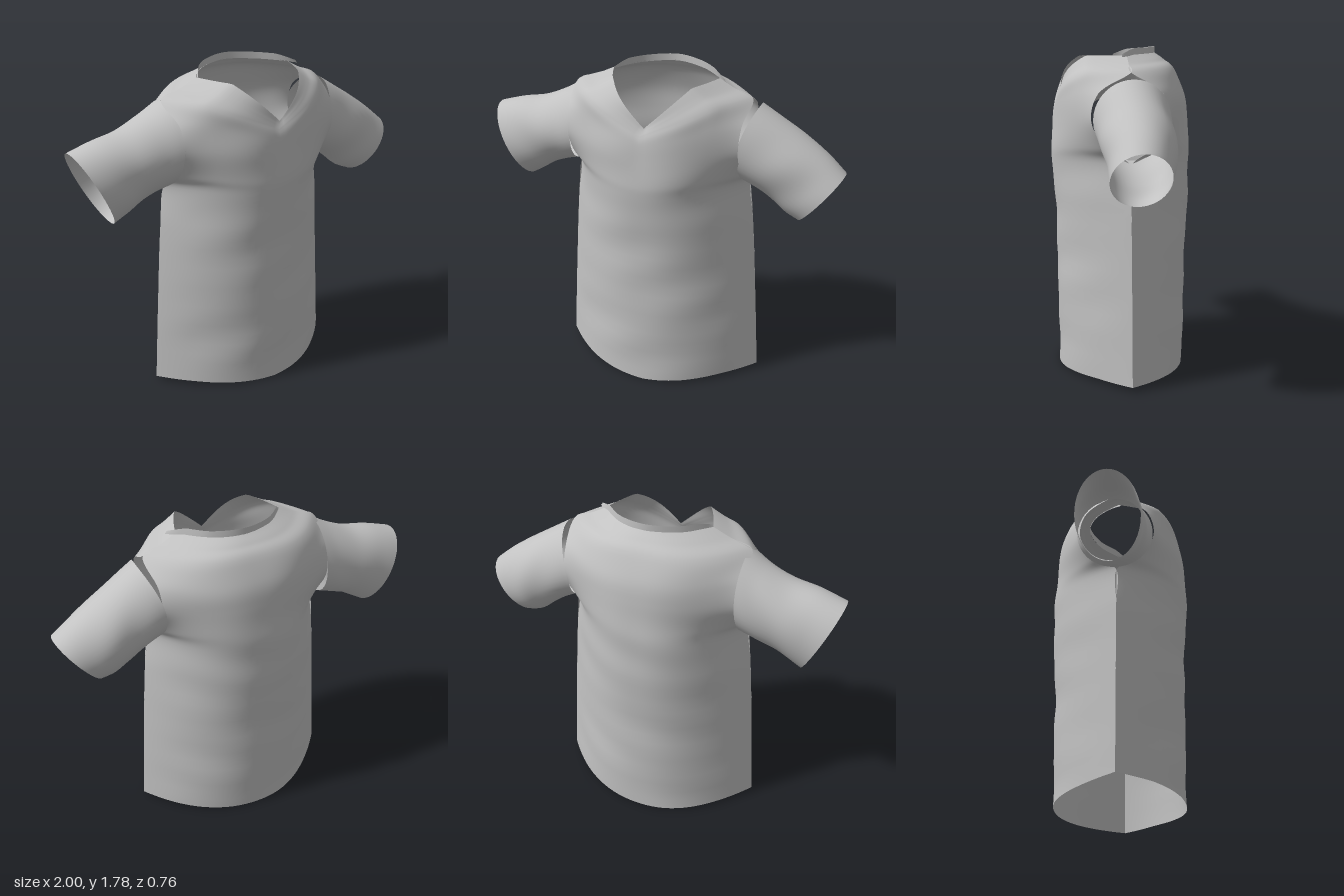
import * as THREE from 'three';

const V = (x, y, z) => new THREE.Vector3(x, y, z);
const cloth = new THREE.MeshStandardMaterial({ color: 0xc2c2c2, side: THREE.DoubleSide });
cloth.name = 'grey cloth';

// Smooth sheet from a rule: point(s, t) with s across and t along, both 0..1
function sheet(name, cols, rows, point, closed = false) {
  const pos = [], index = [], w = closed ? cols : cols + 1;
  for (let j = 0; j <= rows; j++) {
    for (let i = 0; i < w; i++) pos.push(...point(i / cols, j / rows).toArray());
  }
  for (let j = 0; j < rows; j++) {
    for (let i = 0; i < cols; i++) {
      const a = j * w + i, b = j * w + (i + 1) % w;
      index.push(a, b, b + w, a, b + w, a + w);
    }
  }
  const g = new THREE.BufferGeometry();
  g.setAttribute('position', new THREE.Float32BufferAttribute(pos, 3));
  g.setIndex(index);
  g.computeVertexNormals();
  const mesh = new THREE.Mesh(g, cloth);
  mesh.name = name;
  return mesh;
}

// Soft cloth wrinkles
const wrinkle = (x, y, k) =>
  0.004 * Math.sin(9 * y + 5 * x * x + k) * Math.cos(4 * x + 2 * y + k) +
  0.004 * Math.sin(21 * y - 7 * x + 2 * k) * Math.sin(3 * x + 5 * y + k);

// Side seam, then armhole, then shoulder seam up to the neck: x, y, |z|
const edge = [
  [0.585, 0.025, 0], [0.555, 0.5, 0], [0.522, 0.95, 0], [0.495, 1.18, 0.005],
  [0.48, 1.26, 0.12], [0.475, 1.4, 0.2], [0.48, 1.54, 0.165],
  [0.49, 1.645, 0], [0.38, 1.685, 0], [0.28, 1.73, 0],
];
// Centre line of each panel: y, |z|, fullness of the row
const frontLine = [
  [0, 0.343, 2.2], [0.5, 0.353, 2.2], [0.95, 0.363, 2.3], [1.15, 0.375, 2.45],
  [1.23, 0.38, 2.6], [1.33, 0.38, 2.7], [1.43, 0.365, 2.8],
  [1.49, 0.348, 3], [1.51, 0.338, 3], [1.53, 0.33, 2.9],
];
const backLine = [
  [0, 0.35, 2.2], [0.5, 0.36, 2.2], [0.95, 0.375, 2.3], [1.17, 0.378, 2.45],
  [1.28, 0.373, 2.6], [1.42, 0.362, 2.7], [1.54, 0.345, 2.8],
  [1.65, 0.295, 2.8], [1.71, 0.235, 2.5], [1.745, 0.19, 2.1],
];

const curve = (list) => new THREE.CatmullRomCurve3(list.map((p) => V(...p)));

function panel(name, line, side) {
  const e = curve(edge), c = curve(line);
  return sheet(name, 48, 72, (s, t) => {
    const E = e.getPoint(t), C = c.getPoint(t);
    const u = side * Math.sin((s - 0.5) * Math.PI), a = Math.abs(u);
    // The front dips in a V, the back in a soft curve
    const dip = side > 0 ? Math.max(0, 1 - a / 0.72) : 1 - a * a;
    const full = 1 - a ** C.z;
    // The neck hangs a little to the left
    const x = E.x * u + 0.015 * (1 + u) * Math.max(0, (t - 0.8) / 0.2);
    const y = E.y + (C.x - E.y) * dip;
    const z = E.z * a ** 4 + C.y * full + wrinkle(x, y, side) * Math.min(1, full * 2);
    return V(x, y, side * z);
  });
}

// Sleeve through oval rings: top x, top y, bottom x, bottom y, centre z, half depth
// hollow curves the seam in towards the body
function sleeve(name, side, hollow, rings) {
  const top = curve(rings.map((r) => [r[0], r[1], r[4]]));
  const low = curve(rings.map((r) => [r[2], r[3], r[5]]));
  return sheet(name, 40, 24, (s, t) => {
    const A = top.getPoint(t), B = low.getPoint(t);
    const ang = s * Math.PI * 2 * side;
    const k = (1 + Math.cos(ang)) / 2;
    const fold = 1 + 0.025 * Math.sin(3 * ang + 9 * t) * Math.sin(Math.PI * t);
    const seam = hollow * Math.sin(ang) ** 2 * (1 - t) ** 3;
    return V(side * (B.x + (A.x - B.x) * k - seam), B.y + (A.y - B.y) * k,
      A.z + B.z * Math.sin(ang) * fold);
  }, true);
}

export function createModel() {
  const shirt = new THREE.Group();
  shirt.name = 'shirt';
  shirt.add(panel('frontPanel', frontLine, 1), panel('backPanel', backLine, -1));

  shirt.add(sleeve('rightSleeve', -1, 0.012, [
    [0.475, 1.635, 0.492, 1.19, -0.01, 0.205],
    [0.58, 1.575, 0.57, 1.165, -0.02, 0.188],
    [0.71, 1.52, 0.66, 1.13, -0.02, 0.178],
    [0.86, 1.49, 0.73, 1.085, -0.02, 0.172],
    [1.0, 1.45, 0.805, 1.04, -0.025, 0.165],
  ]));
  shirt.add(sleeve('leftSleeve', 1, 0.04, [
    [0.535, 1.612, 0.47, 1.2, -0.01, 0.2],
    [0.66, 1.535, 0.56, 1.15, -0.015, 0.187],
    [0.78, 1.46, 0.635, 1.095, -0.02, 0.18],
    [0.9, 1.375, 0.7, 1.04, -0.015, 0.165],
    [1.0, 1.29, 0.77, 1.01, 0, 0.15],
  ]));

  // Narrow stand-up band round the back of the neck, loose at its left end
  const band = curve([
    [0.355, 1.72, 0.03], [0.29, 1.728, -0.03], [0.18, 1.734, -0.132], [0.02, 1.742, -0.188],
    [-0.14, 1.735, -0.14], [-0.24, 1.728, -0.05], [-0.28, 1.722, 0.01],
  ]);
  shirt.add(sheet('neckBand', 40, 3, (s, t) => {
    const p = band.getPoint(s);
    const h = 0.038 * Math.min(1, 0.4 + 3 * Math.min(s, 1 - s));
    return V(p.x * (1 - 0.03 * t), p.y + h * t, p.z);
  }));
  return shirt;
}
